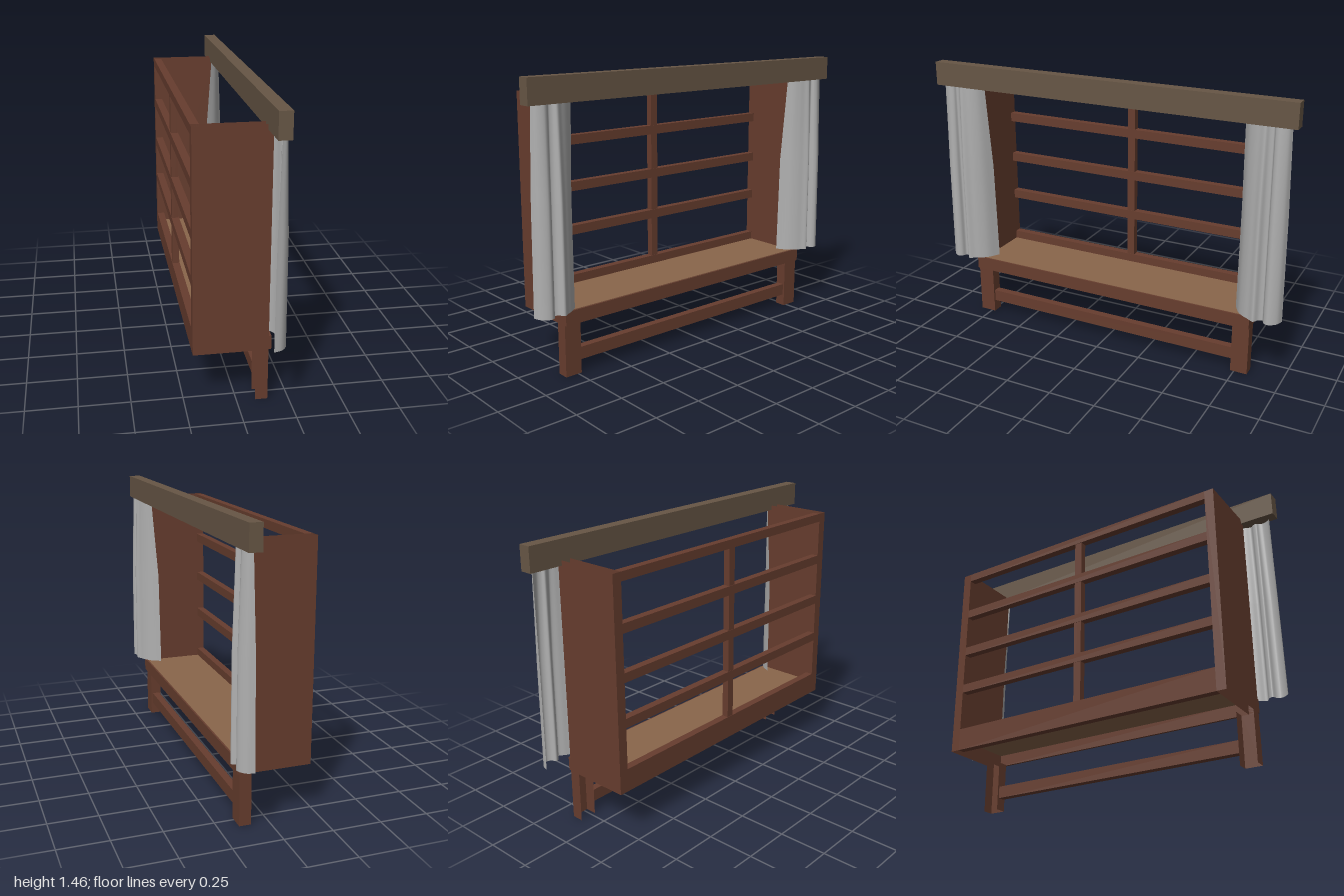
import * as THREE from 'three';

const wood = new THREE.MeshStandardMaterial({ name: 'reddish wood', color: 0x673d2e, side: THREE.DoubleSide });
const seatWood = new THREE.MeshStandardMaterial({ name: 'light seat wood', color: 0x8a664b });
const pelmetWood = new THREE.MeshStandardMaterial({ name: 'grey brown wood', color: 0x675645 });
const cloth = new THREE.MeshStandardMaterial({ name: 'grey cloth', color: 0xb0b0b0, side: THREE.DoubleSide });

// Box given by its lower and upper limits on each axis
function box(name, material, [x0, x1], [y0, y1], [z0, z1]) {
  const mesh = new THREE.Mesh(new THREE.BoxGeometry(x1 - x0, y1 - y0, z1 - z0), material);
  mesh.position.set((x0 + x1) / 2, (y0 + y1) / 2, (z0 + z1) / 2);
  mesh.name = name;
  return mesh;
}

// Upright sheet standing on the line from (xa, za) to (xb, zb)
function sheet(name, [xa, za], [xb, zb], [y0, y1]) {
  const mesh = new THREE.Mesh(new THREE.PlaneGeometry(Math.hypot(xb - xa, zb - za), y1 - y0), wood);
  mesh.position.set((xa + xb) / 2, (y0 + y1) / 2, (za + zb) / 2);
  mesh.rotation.y = Math.atan2(za - zb, xb - xa);
  mesh.name = name;
  return mesh;
}

// Leg open at the back and below: a front face and two sides
function leg(s) {
  const group = new THREE.Group();
  group.name = 'leg';
  const height = [0, 0.27];
  group.add(
    sheet('legFront', [0.15, s * 0.82], [0.15, s * 0.73], height),
    sheet('legOuterSide', [0.09, s * 0.82], [0.15, s * 0.82], height),
    sheet('legInnerSide', [0.09, s * 0.73], [0.15, s * 0.73], height));
  return group;
}

// Hollow window jamb: outer and inner walls joined along the front and back edges
function jamb(s) {
  const group = new THREE.Group();
  group.name = 'jamb';
  const height = [0.265, 1.36], x0 = -0.21, x1 = 0.15;
  group.add(
    sheet('jambOuterWall', [x0, s * 0.82], [x1, s * 0.82], height),
    sheet('jambInnerWall', [x0, s * 0.77], [x1, s * 0.77], height),
    sheet('jambBackEdge', [x0, s * 0.82], [x0, s * 0.77], height),
    sheet('jambFrontEdge', [x1, s * 0.82], [x1, s * 0.77], height));
  return group;
}

// Pleats at the hem as [x, z], from the outer edge to the inner edge that turns back
const pleats = new THREE.CatmullRomCurve3([
  [0.138, 0.98], [0.18, 0.965], [0.206, 0.925], [0.195, 0.902], [0.172, 0.89], [0.18, 0.87],
  [0.206, 0.85], [0.188, 0.82], [0.172, 0.79], [0.142, 0.755], [0.085, 0.722],
].map(([x, z]) => new THREE.Vector3(x, 0, z))).getPoints(40);

// Cloth sheet whose pleats deepen towards the hem
function curtain(s) {
  const n = pleats.length;
  const levels = [[1.34, 0.5, 0.9], [0.88, 0.92, 0.96], [0.34, 1, 1]];
  const points = [], index = [];
  levels.forEach(([y, depth, width], r) => pleats.forEach((p, i) => {
    points.push(0.168 + (p.x - 0.168) * depth, y, s * (0.853 + (p.z - 0.853) * width));
    if (r && i) {
      const a = (r - 1) * n + i - 1, b = a + n;
      if (s > 0) index.push(a, b, a + 1, a + 1, b, b + 1);
      else index.push(a, a + 1, b, a + 1, b + 1, b);
    }
  }));
  const geometry = new THREE.BufferGeometry();
  geometry.setAttribute('position', new THREE.Float32BufferAttribute(points, 3));
  geometry.setIndex(index);
  geometry.computeVertexNormals();
  const mesh = new THREE.Mesh(geometry, cloth);
  mesh.name = 'curtain';
  return mesh;
}

export function createModel() {
  const model = new THREE.Group();
  model.name = 'bayWindowSeat';
  const back = [-0.21, -0.17], opening = [-0.77, 0.77];

  // Window frame and glazing bars
  model.add(box('topRail', wood, back, [1.315, 1.36], opening));
  model.add(box('bottomRail', wood, back, [0.265, 0.385], opening));
  for (const y of [0.625, 0.855, 1.095])
    model.add(box('glazingBar', wood, back, [y - 0.024, y + 0.024], opening));
  model.add(box('mullion', wood, [-0.208, -0.172], [0.38, 1.32], [-0.021, 0.021]));

  // Mirrored jambs, legs and curtains
  for (const s of [1, -1]) model.add(jamb(s), leg(s), curtain(s));

  // Bench
  model.add(box('seat', seatWood, [-0.17, 0.155], [0.33, 0.34], opening));
  model.add(box('seatRail', wood, [0.15, 0.163], [0.267, 0.338], [-0.82, 0.82]));
  model.add(box('stretcher', wood, [0.1, 0.14], [0.065, 0.13], [-0.73, 0.73]));

  // Curtain pelmet
  model.add(box('pelmet', pelmetWood, [0.125, 0.188], [1.335, 1.46], [-1, 1]));
  return model;
}
